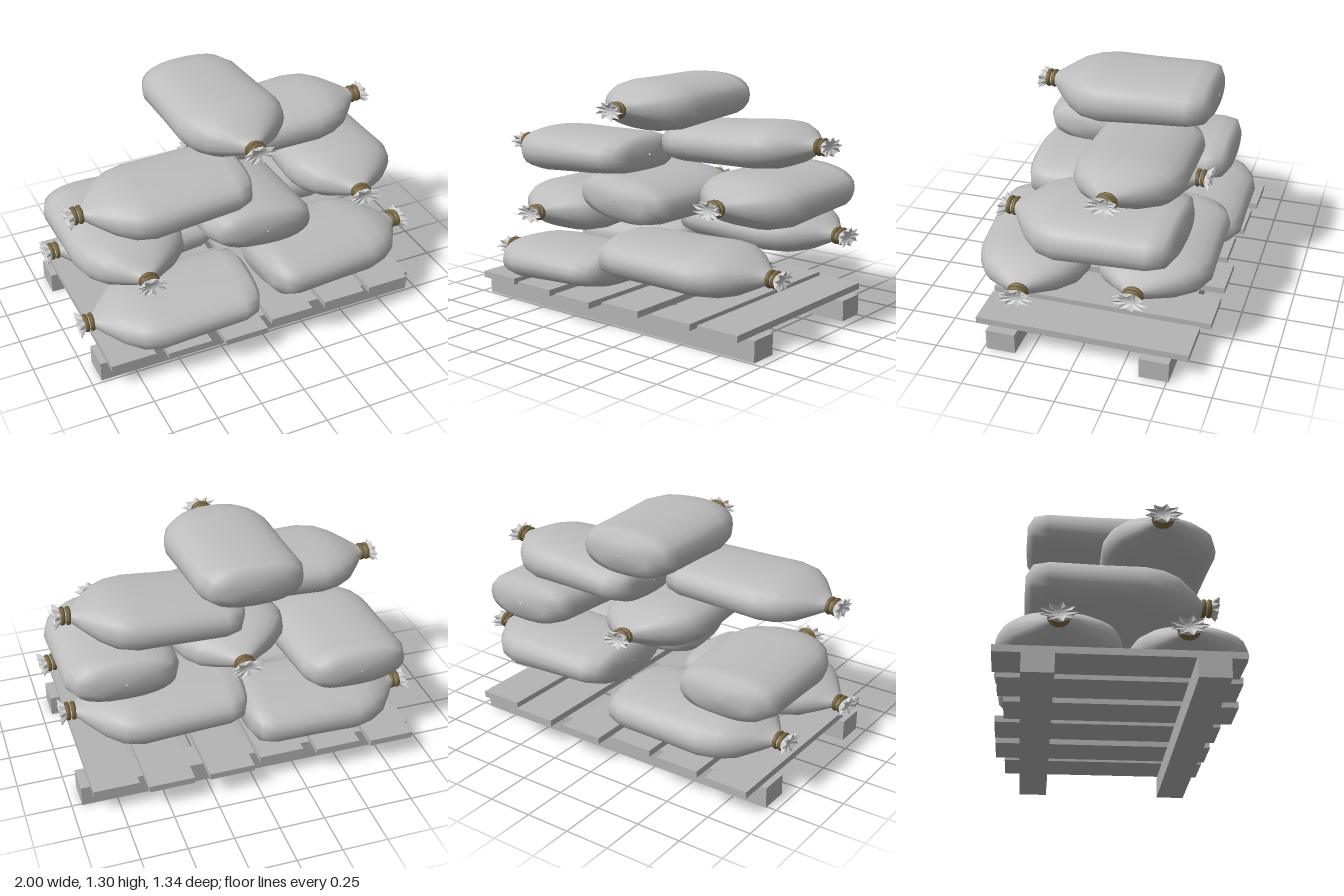
import * as THREE from 'three';

const material = (name, color, extra = {}) => {
  const m = new THREE.MeshStandardMaterial({ color, ...extra });
  m.name = name;
  return m;
};

// Skin over cross-sections [z, halfWidth, halfHeight, xCentre, yCentre], running towards +z.
function loft(sections, sides, power, radiusAt = () => 1) {
  const pos = [], index = [];
  const bulge = (v) => Math.sign(v) * Math.abs(v) ** (2 / power);
  sections.forEach(([z, w, h, xc = 0, yc = 0], i) => {
    for (let j = 0; j < sides; j++) {
      const a = (j / sides) * Math.PI * 2, r = radiusAt(i, j);
      pos.push(xc + w * r * bulge(Math.cos(a)), yc + h * r * bulge(Math.sin(a)), z);
      if (i === sections.length - 1) continue;
      const k = (j + 1) % sides, p = i * sides, q = p + sides;
      index.push(p + j, p + k, q + k, p + j, q + k, q + j);
    }
  });
  const g = new THREE.BufferGeometry();
  g.setAttribute('position', new THREE.Float32BufferAttribute(pos, 3));
  g.setIndex(index);
  g.computeVertexNormals();
  return g;
}

export function createModel() {
  const model = new THREE.Group();
  model.name = 'sackPallet';

  const cloth = material('sackCloth', 0xbdbdbd);
  const frillCloth = material('frillCloth', 0xcccccc, { flatShading: true, side: THREE.DoubleSide });
  const rope = material('rope', 0x75623c);
  const wood = material('palletWood', 0xb4b4b4);

  const add = (parent, name, geometry, mat, x = 0, y = 0, z = 0) => {
    const mesh = new THREE.Mesh(geometry, mat);
    mesh.name = name;
    mesh.position.set(x, y, z);
    parent.add(mesh);
    return mesh;
  };

  // Pallet: two beams along x, six slats with uneven ends
  const pallet = new THREE.Group();
  pallet.name = 'pallet';
  model.add(pallet);
  for (const z of [0.405, -0.43]) {
    add(pallet, 'beam', new THREE.BoxGeometry(1.89, 0.115, 0.16), wood, 0, 0.0575, z);
  }
  const slats = [ // x, back z, front z
    [-0.785, -0.65, 0.57], [-0.475, -0.63, 0.6], [-0.155, -0.6, 0.63],
    [0.145, -0.65, 0.58], [0.48, -0.65, 0.57], [0.77, -0.6, 0.56],
  ];
  for (const [x, z0, z1] of slats) {
    add(pallet, 'slat', new THREE.BoxGeometry(0.25, 0.036, z1 - z0), wood, x, 0.133, (z0 + z1) / 2);
  }

  // Sack body: blunt bottom at -z, gathered neck at +z
  const bodyShape = loft([
    [-0.49, 0.005, 0.005, -0.02, 0.01],
    [-0.486, 0.17, 0.075, -0.02, 0.01],
    [-0.45, 0.255, 0.115, -0.02, 0.01],
    [-0.37, 0.288, 0.124, -0.015, 0.008],
    [-0.1, 0.293, 0.13, 0, 0.003],
    [0.1, 0.3, 0.137, 0.01, 0],
    [0.2, 0.272, 0.13, 0.01, 0],
    [0.28, 0.215, 0.105, 0, 0],
    [0.36, 0.115, 0.062],
    [0.405, 0.05, 0.037],
    [0.47, 0.035, 0.028],
  ], 24, 2.4);

  // Star-shaped frill beyond the tie, closed towards its centre
  const frillShape = loft([
    [0.43, 0.035, 0.028],
    [0.463, 0.055, 0.036],
    [0.493, 0.1, 0.052],
    [0.478, 0.03, 0.018],
    [0.474, 0.001, 0.001],
  ], 18, 2, (i, j) => (i === 2 ? (j % 2 ? 0.62 : 1) : 1));
  const ringShape = new THREE.TorusGeometry(0.043, 0.013, 8, 20);

  const deg = THREE.MathUtils.degToRad;
  function addSack(name, [x, y, z], yaw, width, height, pitch = 0, roll = 0) {
    const sack = new THREE.Group();
    sack.name = name;
    sack.position.set(x, y, z);
    sack.rotation.set(deg(pitch), deg(yaw), deg(roll), 'YXZ');
    add(sack, 'sackBody', bodyShape, cloth).scale.set(width / 0.61, height / 0.27, 1);
    add(sack, 'sackFrill', frillShape, frillCloth);
    for (const rz of [0.42, 0.45]) {
      add(sack, 'ropeRing', ringShape, rope, 0, 0, rz).scale.set(1, 0.85, 1);
    }
    model.add(sack);
  }

  // Bottom layer, necks facing outwards
  addSack('frontRightSack', [-0.5, 0.262, 0.325], -95, 0.62, 0.225, 2);
  addSack('backRightSack', [-0.485, 0.308, -0.335], -90, 0.65, 0.25, 1);
  addSack('frontLeftSack', [0.495, 0.393, 0.34], 95, 0.62, 0.25, 1);
  addSack('backLeftSack', [0.5, 0.488, -0.335], 87, 0.64, 0.24);
  // Second layer, lying front to back
  addSack('secondRightSack', [-0.625, 0.515, -0.015], 0, 0.64, 0.27, 0, -2);
  addSack('secondMiddleSack', [0.01, 0.675, -0.005], 180, 0.65, 0.26, 0, 5);
  addSack('secondLeftSack', [0.66, 0.72, -0.02], -3, 0.64, 0.27, 0, -2);
  // Third layer and the top sack
  addSack('thirdRightSack', [-0.48, 0.873, 0.18], -91, 0.61, 0.245, 1);
  addSack('thirdLeftSack', [0.465, 0.955, -0.19], 87, 0.6, 0.25, -4, 0);
  addSack('topSack', [-0.015, 1.157, -0.02], 0, 0.61, 0.275);

  return model;
}
